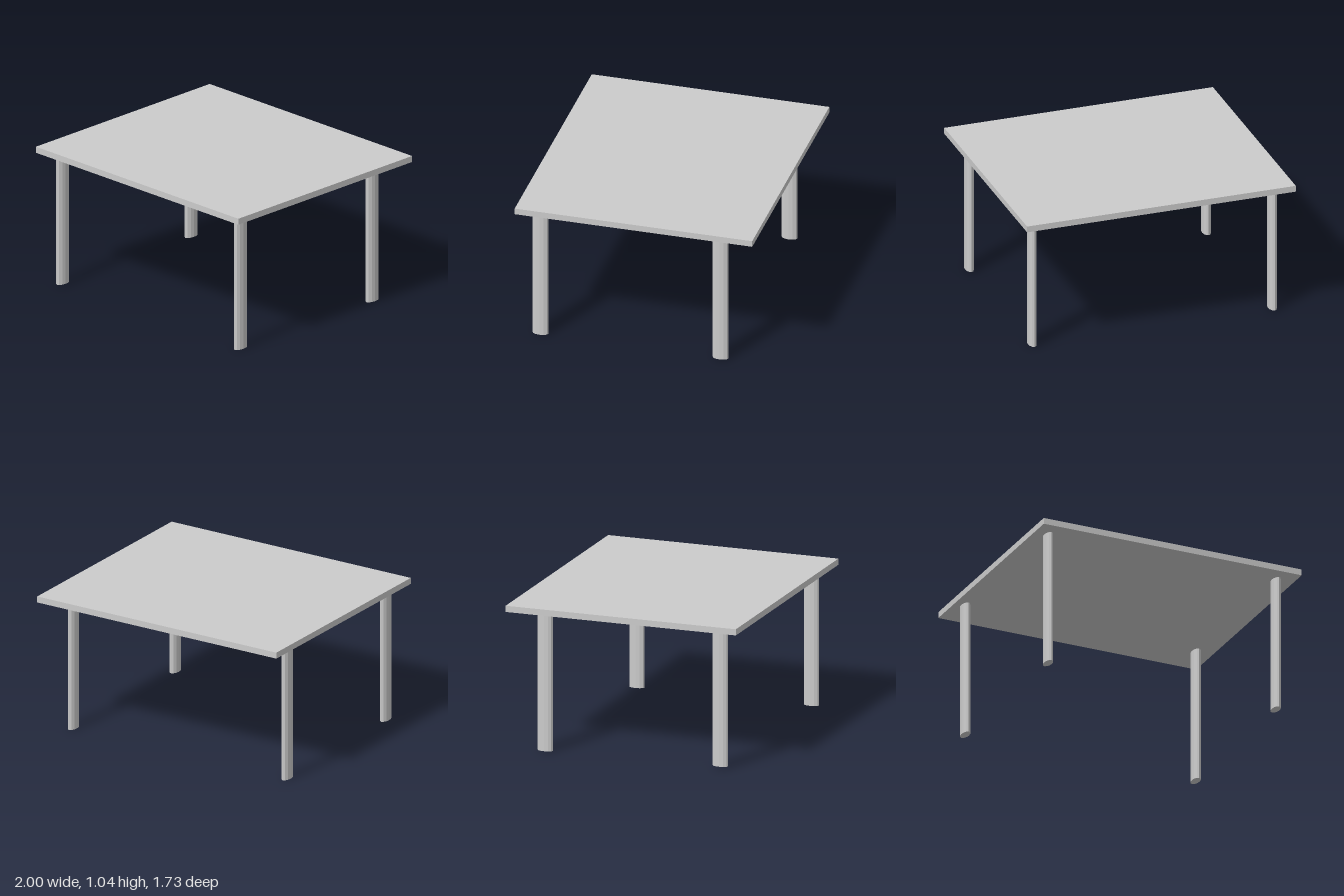
import * as THREE from 'three';

export function createModel() {
  const model = new THREE.Group();
  model.name = 'table';
  const material = new THREE.MeshStandardMaterial({ color: 0xcccccc, flatShading: true });

  // Thin rectangular slab
  const top = new THREE.Mesh(new THREE.BoxGeometry(2, 0.045, 1.73), material);
  top.name = 'tableTop';
  top.position.y = 1.0225;
  model.add(top);

  // Oval legs, slightly uneven in placement: name, x, z, height of foot
  const legs = [
    ['frontLeftLeg', 0.87, 0.713, 0],
    ['frontRightLeg', -0.892, 0.707, 0.01],
    ['backLeftLeg', 0.87, -0.598, 0],
    ['backRightLeg', -0.918, -0.598, 0],
  ];
  for (const [name, x, z, foot] of legs) {
    const height = 1 - foot;
    const geometry = new THREE.CylinderGeometry(1, 1, height, 12);
    geometry.scale(0.03, 1, 0.058);
    const leg = new THREE.Mesh(geometry, material);
    leg.name = name;
    leg.position.set(x, foot + height / 2, z);
    model.add(leg);
  }
  return model;
}
